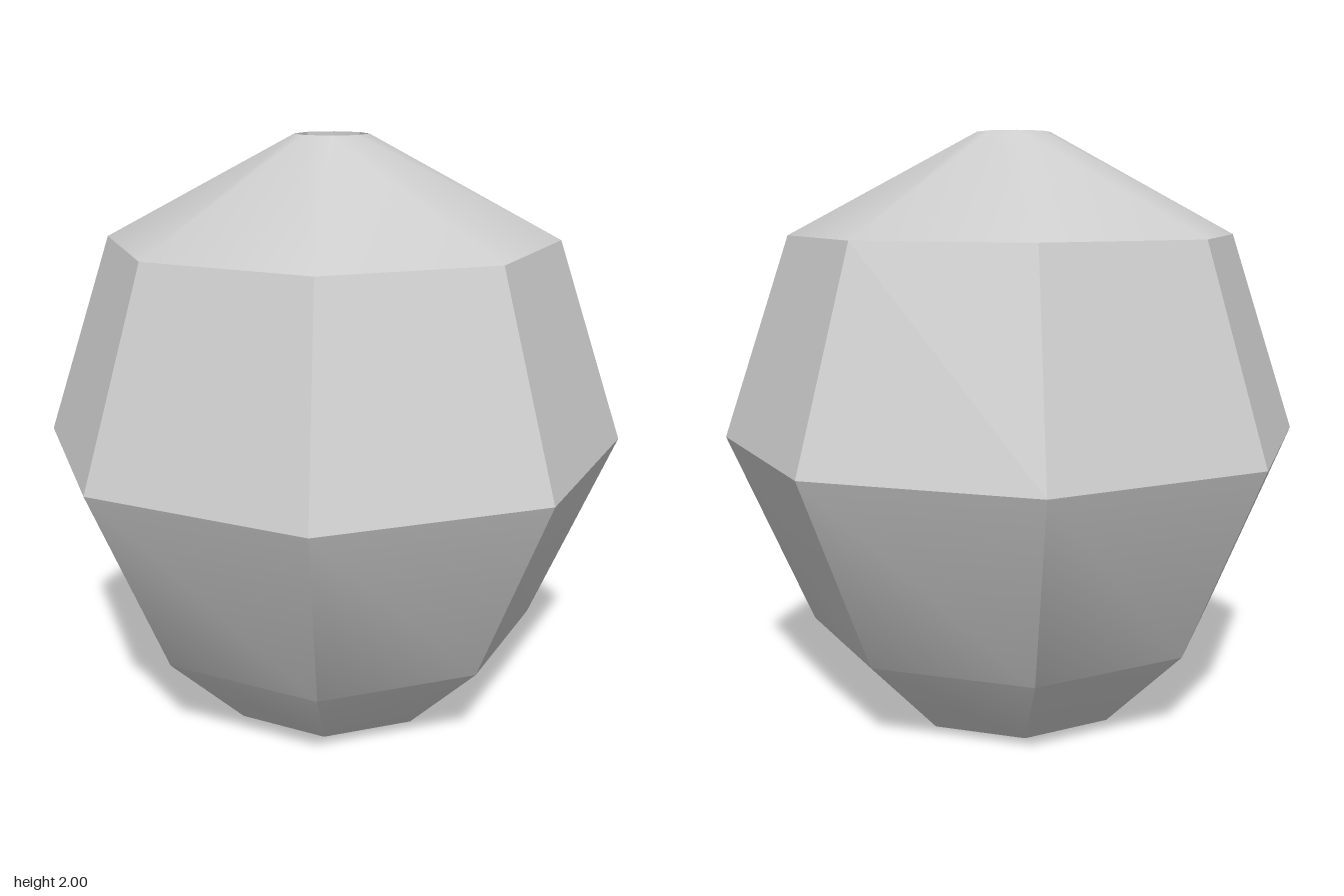
import * as THREE from 'three';
import { toCreasedNormals } from 'three/addons/utils/BufferGeometryUtils.js';

const SIDES = 8;
const HOLE = 0.115;

// Closed profile as [distance from axis to flat side, height]
const PROFILE = [
  [HOLE, 0],      // bottom rim of the hole
  [0.385, 0],     // base edge
  [0.66, 0.3],
  [0.925, 0.965], // widest girdle
  [0.71, 1.655],  // shoulder
  [HOLE, 2],      // top rim of the hole
  [HOLE, 0],      // back down the hole wall
];

export function createModel() {
  const group = new THREE.Group();
  group.name = 'facetedBead';

  const grey = new THREE.MeshStandardMaterial({ color: 0xcccccc });
  grey.name = 'light grey';

  // Flat sides face the axes, so corners sit half a step round
  const half = Math.PI / SIDES;
  const points = PROFILE.map(([r, y]) => new THREE.Vector2(r / Math.cos(half), y));
  const lathe = new THREE.LatheGeometry(points, SIDES, half);

  // Gentle bends are smooth, facet edges stay sharp
  const bead = new THREE.Mesh(toCreasedNormals(lathe, THREE.MathUtils.degToRad(35)), grey);
  bead.name = 'beadBody';
  group.add(bead);
  return group;
}
